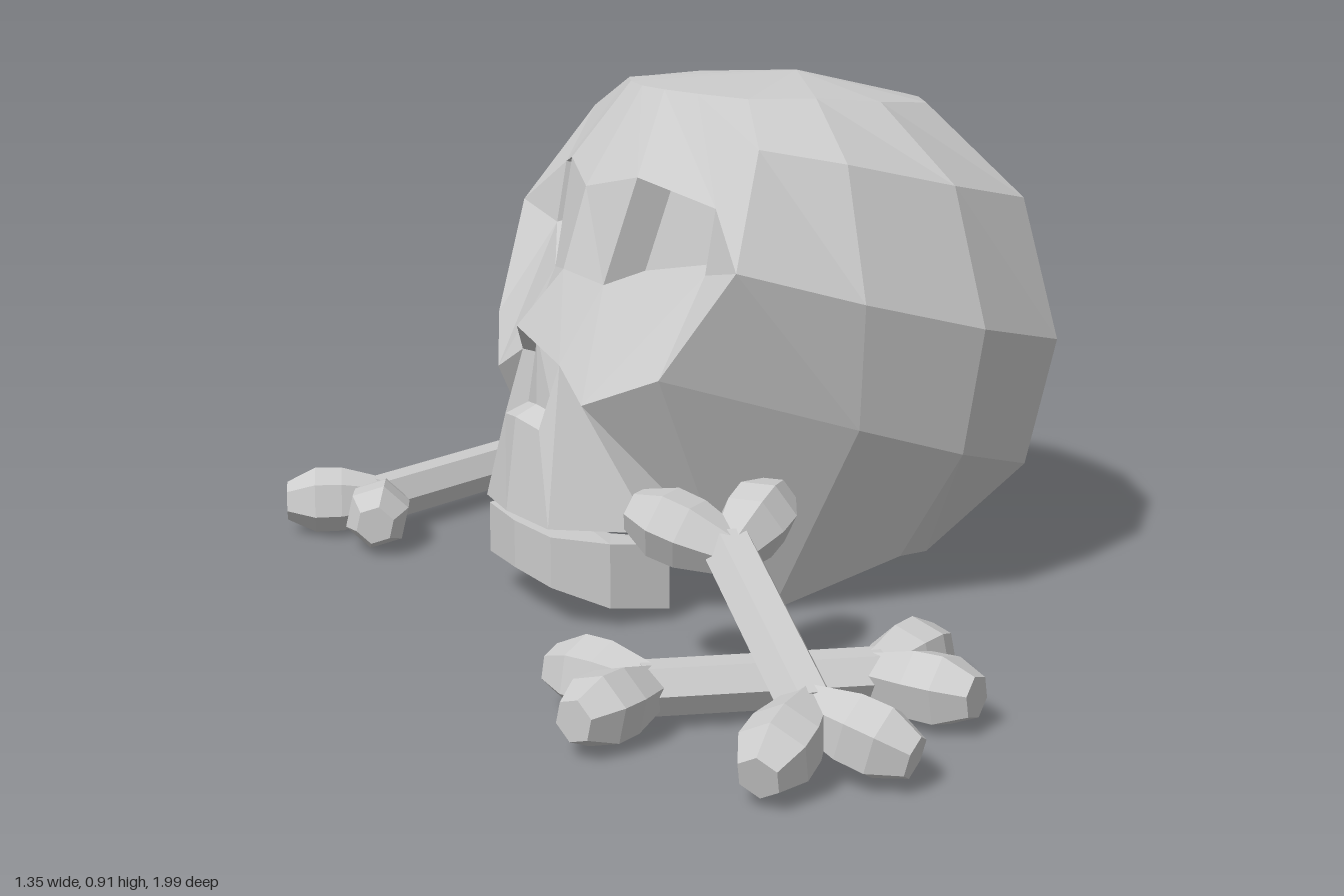
import * as THREE from 'three';

const boneMat = new THREE.MeshStandardMaterial({ color: 0xcccccc, flatShading: true, side: THREE.DoubleSide });
boneMat.name = 'bone grey';

// Collects flat polygons, each added together with its mirror image in x
function shell(name) {
  const pos = [];
  const add = (...p) => {
    for (let i = 1; i < p.length - 1; i++) {
      const [a, b, c] = [p[0], p[i], p[i + 1]];
      pos.push(...a, ...b, ...c);
      for (const [x, y, z] of [a, c, b]) pos.push(-x, y, z);
    }
  };
  const mesh = () => {
    const g = new THREE.BufferGeometry();
    g.setAttribute('position', new THREE.Float32BufferAttribute(pos, 3));
    g.computeVertexNormals();
    const m = new THREE.Mesh(g, boneMat);
    m.name = name;
    return m;
  };
  return { add, mesh };
}

// Face points from the midline to the temple, brow row by row down to the upper jaw
const face = [
  [[0, 0.905, 0.41], [0.06, 0.905, 0.4], [0.12, 0.903, 0.37], [0.17, 0.895, 0.3]],
  [[0, 0.74, 0.52], [0.12, 0.77, 0.485], [0.27, 0.735, 0.42], [0.29, 0.83, 0.35]],
  [[0, 0.6, 0.565], [0.09, 0.585, 0.535], [0.27, 0.625, 0.44], [0.386, 0.65, 0.449]],
  [[0, 0.51, 0.655], [0.07, 0.45, 0.61], [0.16, 0.4, 0.615], [0.3, 0.465, 0.545]],
  [[0, 0.185, 0.68], [0.12, 0.18, 0.66], [0.2, 0.17, 0.5], [0.24, 0.15, 0.4]],
];
// Plan outline of the braincase behind the temple, and its tilted levels:
// height, slope, width scale, length scale
const plan = [[0.441, 0.234], [0.45, 0], [0.351, -0.226], [0.131, -0.32], [0, -0.33]];
const levels = [
  [0.87, 0.12, 0.45, 0.55], [0.75, 0.25, 0.82, 0.9], [0.52, 0.28, 1, 1],
  [0.29, 0.33, 0.92, 0.88], [0.075, 0.25, 0.68, 0.45],
];

function makeSkull() {
  const skull = new THREE.Group();
  skull.name = 'skull';
  const rows = levels.map(([y, slope, sx, sz], i) => [
    ...face[i],
    ...plan.map(([x, z]) => {
      const w = 0.12 + sz * (z - 0.12);
      return [x * sx, y + slope * w, w];
    }),
  ]);
  rows[4][4] = [0.23, 0.005, 0.28]; // bony point behind the ear

  const cranium = shell('cranium');
  const n = rows[0].length - 1;
  for (let i = 0; i < rows.length - 1; i++) {
    for (let j = 0; j < n; j++) {
      if (j === 1 && i === 1) continue; // eye opening
      if (j === 0 && i === 3) continue; // nose opening
      cranium.add(rows[i][j], rows[i + 1][j], rows[i + 1][j + 1], rows[i][j + 1]);
    }
  }
  // Crown and base
  for (let j = 0; j < n; j++) {
    cranium.add([0, 0.912, 0.1], rows[0][j], rows[0][j + 1]);
    cranium.add([0, 0.13, 0.25], rows[4][j + 1], rows[4][j]);
  }
  // Upper jaw around the nose
  const noseMid = [0, 0.35, 0.66], noseSide = [0.065, 0.34, 0.648];
  cranium.add(rows[3][1], noseSide, rows[4][1]);
  cranium.add(noseSide, noseMid, rows[4][0], rows[4][1]);
  skull.add(cranium.mesh());

  // Recesses: rim, sloping walls and a floor
  const recess = (name, rim, centre, shrink) => {
    const s = shell(name);
    const floor = rim.map((p) => p.map((v, k) => centre[k] + (v - centre[k]) * shrink));
    rim.forEach((p, k) => {
      const m = (k + 1) % rim.length;
      if (p[0] === 0 && rim[m][0] === 0) return;
      s.add(p, rim[m], floor[m], floor[k]);
    });
    s.add(...floor);
    skull.add(s.mesh());
  };
  recess('eyeSockets', [rows[1][1], rows[2][1], rows[2][2], rows[1][2]], [0.18, 0.69, 0.18], 0.8);
  recess('noseCavity', [rows[3][0], noseMid, noseSide, rows[3][1]], [0, 0.42, 0.5], 0.75);

  // Lower jaw: a U of box sections, each with outer and inner x, z and bottom and top y
  const jaw = shell('lowerJaw');
  const sections = [
    [0, 0.665, 0, 0.58, 0.08, 0.165], [0.12, 0.655, 0.08, 0.57, 0.075, 0.165],
    [0.175, 0.57, 0.12, 0.54, 0.04, 0.155], [0.185, 0.46, 0.13, 0.46, 0.025, 0.14],
  ].map(([ox, oz, ix, iz, b, t]) => [[ox, t, oz], [ox, b, oz], [ix, b, iz], [ix, t, iz]]);
  for (let i = 0; i < 3; i++) {
    for (let k = 0; k < 4; k++) {
      const m = (k + 1) % 4;
      jaw.add(sections[i][k], sections[i][m], sections[i + 1][m], sections[i + 1][k]);
    }
  }
  jaw.add(...sections[3]);
  skull.add(jaw.mesh());

  skull.position.set(0.34, 0, -0.195);
  skull.rotation.y = THREE.MathUtils.degToRad(-70);
  return skull;
}

// Long bone: six-sided shaft with two stubby splayed knobs at each end
function makeBone(name, centre, direction, half) {
  const bone = new THREE.Group();
  bone.name = name;
  const shaft = new THREE.Mesh(new THREE.CylinderGeometry(0.045, 0.045, half * 2, 6), boneMat);
  shaft.name = 'shaft';
  shaft.rotation.z = Math.PI / 2;
  bone.add(shaft);
  const profile = [[0.04, 0], [0.06, 0.075], [0.061, 0.125], [0.036, 0.178], [0, 0.178]]
    .map(([r, y]) => new THREE.Vector2(r, y));
  const knobGeo = new THREE.LatheGeometry(profile, 6);
  const up = new THREE.Vector3(0, 1, 0);
  for (const sx of [-1, 1]) {
    for (const sz of [-1, 1]) {
      const knob = new THREE.Mesh(knobGeo, boneMat);
      knob.name = 'knob';
      knob.position.x = sx * (half - 0.01);
      knob.quaternion.setFromUnitVectors(up, new THREE.Vector3(sx * 0.73, 0, sz * 0.68).normalize());
      bone.add(knob);
    }
  }
  const x = new THREE.Vector3(...direction).normalize();
  const z = new THREE.Vector3().crossVectors(x, up).normalize();
  const y = new THREE.Vector3().crossVectors(z, x);
  bone.quaternion.setFromRotationMatrix(new THREE.Matrix4().makeBasis(x, y, z));
  bone.position.set(...centre);
  return bone;
}

export function createModel() {
  const model = new THREE.Group();
  model.name = 'skullAndBones';
  model.add(
    makeSkull(),
    makeBone('backBone', [-0.283, 0.068, -0.635], [0.64, 0, -0.53], 0.275),
    makeBone('lowerCrossedBone', [0.038, 0.068, 0.625], [1, 0, 0], 0.19),
    makeBone('upperCrossedBone', [0.037, 0.172, 0.67], [0.08, -0.2, 0.5], 0.195),
  );
  return model;
}
